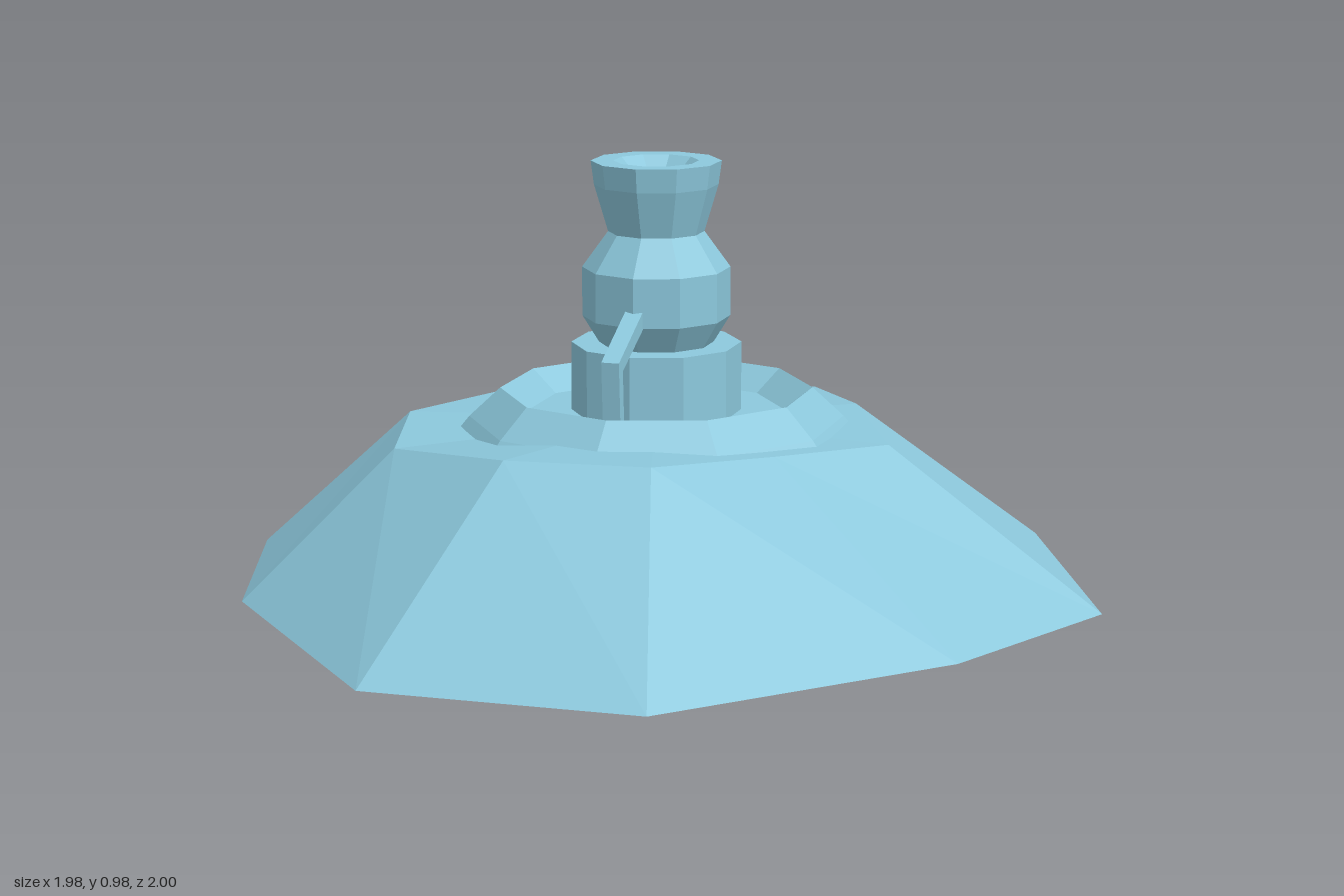
import * as THREE from 'three';

const SIDES = 10;
const CX = -0.045, CZ = -0.06; // axis of the column and basin

const stone = new THREE.MeshStandardMaterial({ color: 0x8cc8dc, flatShading: true });
stone.name = 'pale blue stone';

function turned(name, profile) {
  const pts = profile.map(([r, y]) => new THREE.Vector2(r, y));
  const mesh = new THREE.Mesh(new THREE.LatheGeometry(pts, SIDES), stone);
  mesh.name = name;
  mesh.position.set(CX, 0, CZ);
  return mesh;
}

// Irregular rocky mound: flat foot outline, raised shoulder ring, cap and underside
function makeMound() {
  const foot = [
    [0.985, 0], [0.71, -0.63], [0.30, -0.97], [-0.43, -1], [-0.94, -0.67],
    [-0.99, -0.02], [-0.825, 0.475], [-0.335, 0.995], [0.27, 0.975], [0.77, 0.45],
  ].map(([x, z]) => [x, 0.05, z]);
  const shoulder = [
    [0.5, 0.385, -0.025], [0.34, 0.395, -0.36], [0.17, 0.37, -0.62], [-0.17, 0.385, -0.5],
    [-0.5, 0.375, -0.37], [-0.63, 0.38, -0.035], [-0.54, 0.37, 0.28], [-0.2, 0.42, 0.505],
    [0.115, 0.42, 0.47], [0.31, 0.40, 0.22],
  ];
  const top = [CX, 0.40, CZ], under = [CX, 0.05, CZ];
  const pos = [];
  for (let i = 0; i < SIDES; i++) {
    const j = (i + 1) % SIDES;
    pos.push(
      ...foot[i], ...foot[j], ...shoulder[i],
      ...foot[j], ...shoulder[j], ...shoulder[i],
      ...top, ...shoulder[i], ...shoulder[j],
      ...under, ...foot[j], ...foot[i],
    );
  }
  const g = new THREE.BufferGeometry();
  g.setAttribute('position', new THREE.Float32BufferAttribute(pos, 3));
  g.computeVertexNormals();
  const mesh = new THREE.Mesh(g, stone);
  mesh.name = 'mound';
  return mesh;
}

// Bent pipe running from the belly of the column down into the basin
function makePipe(name, turn) {
  const shape = new THREE.Shape([
    [0.13, 0.645], [0.295, 0.568], [0.285, 0.41], [0.31, 0.41], [0.322, 0.59], [0.13, 0.685],
  ].map(([r, y]) => new THREE.Vector2(r, y)));
  const g = new THREE.ExtrudeGeometry(shape, { depth: 0.04, bevelEnabled: false });
  g.translate(0, 0, -0.02);
  const mesh = new THREE.Mesh(g, stone);
  mesh.name = name;
  mesh.rotation.y = turn;
  mesh.position.set(CX, 0, CZ);
  return mesh;
}

export function createModel() {
  const model = new THREE.Group();
  model.name = 'fountain';
  model.add(makeMound());

  // Basin with sloping outside, sharp rim and sunken floor
  model.add(turned('basin', [
    [0.44, 0.38], [0.42, 0.405], [0.35, 0.47], [0.285, 0.42], [0, 0.42],
  ]));

  // Foot stub below the mound
  model.add(turned('footStub', [[0, 0], [0.185, 0], [0.195, 0.06]]));

  // Pedestal, belly, waist and hollow cup
  model.add(turned('pedestal', [[0.19, 0.4], [0.19, 0.575], [0, 0.575]]));
  model.add(turned('belly', [
    [0.125, 0.57], [0.165, 0.635], [0.165, 0.745], [0.107, 0.825],
  ]));
  model.add(turned('cup', [
    [0.107, 0.825], [0.138, 0.93], [0.145, 0.983], [0.095, 0.983], [0, 0.89],
  ]));

  model.add(makePipe('frontPipe', -Math.PI / 2));
  model.add(makePipe('backPipe', Math.PI / 2));
  return model;
}
